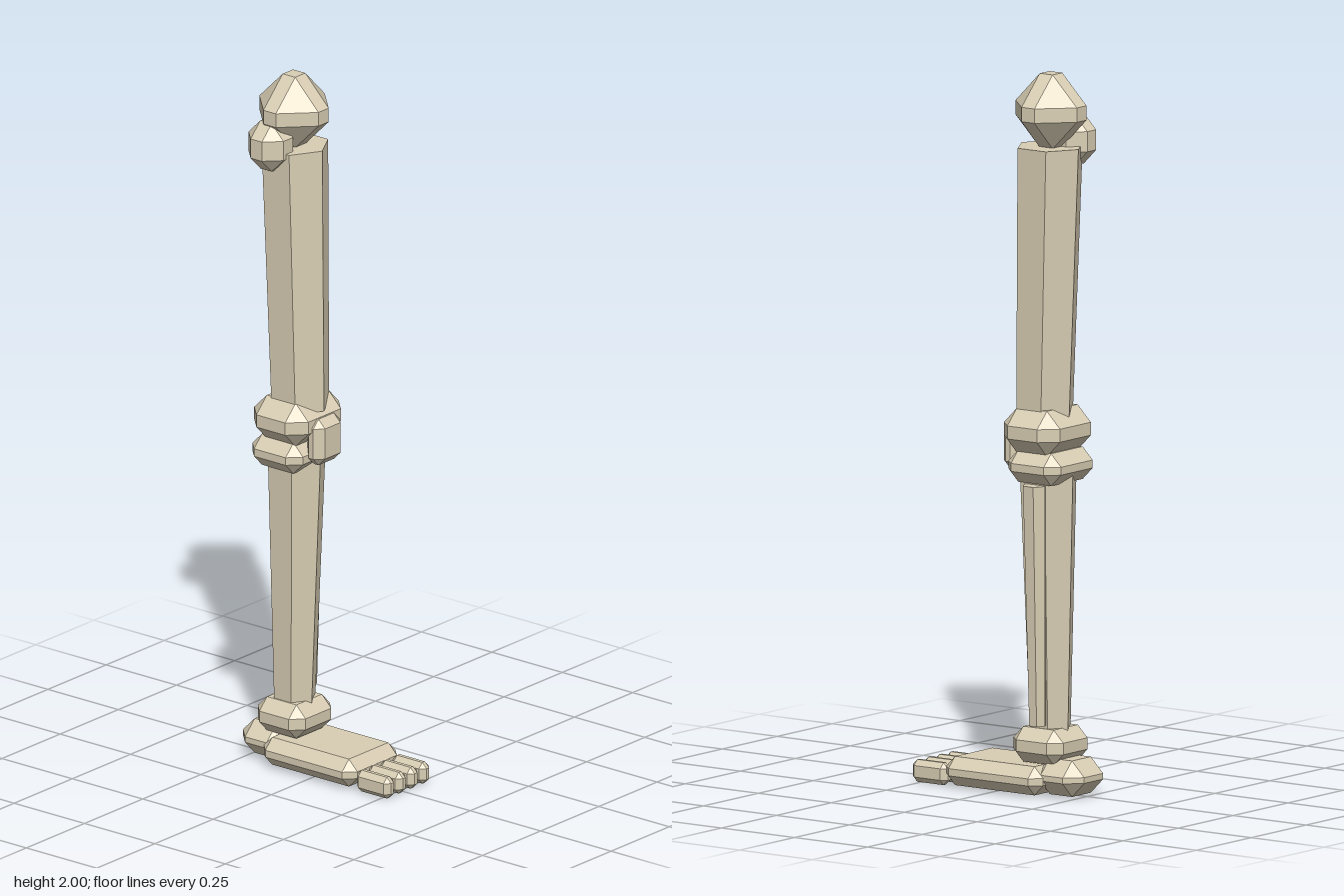
import * as THREE from 'three';
import { ConvexGeometry } from 'three/addons/geometries/ConvexGeometry.js';

const bone = new THREE.MeshStandardMaterial({ color: 0xd9ceb4 });
bone.name = 'bone';

// Box with flat bevels: each face is inset by c and the hull closes the edges.
function bevelBox(name, [x, y, z], half, c) {
  const points = [];
  for (let axis = 0; axis < 3; axis++)
    for (const sx of [-1, 1]) for (const sy of [-1, 1]) for (const sz of [-1, 1]) {
      const s = [sx, sy, sz];
      points.push(new THREE.Vector3(...half.map((h, i) => s[i] * (i === axis ? h : h - c))));
    }
  const mesh = new THREE.Mesh(new ConvexGeometry(points), bone);
  mesh.name = name;
  mesh.position.set(x, y, z);
  return mesh;
}

// Tapered six-sided shaft between two level ends, sheared so the ends line up.
function shaft(name, top, rTop, bottom, rBottom) {
  const h = top[1] - bottom[1];
  const geo = new THREE.CylinderGeometry(rTop, rBottom, h, 6).toNonIndexed();
  const p = geo.attributes.position;
  for (let i = 0; i < p.count; i++) {
    const t = p.getY(i) / h + 0.5;
    p.setXYZ(i,
      p.getX(i) + bottom[0] + (top[0] - bottom[0]) * t,
      p.getY(i) + bottom[1] + h / 2,
      p.getZ(i) + bottom[2] + (top[2] - bottom[2]) * t);
  }
  geo.computeVertexNormals();
  const mesh = new THREE.Mesh(geo, bone);
  mesh.name = name;
  return mesh;
}

export function createModel() {
  const leg = new THREE.Group();
  leg.name = 'legSkeleton';

  // Thigh
  leg.add(
    bevelBox('hipBall', [0.01, 1.897, -0.134], [0.105, 0.103, 0.105], 0.083),
    bevelBox('hipKnob', [-0.065, 1.81, -0.155], [0.062, 0.07, 0.062], 0.042),
    shaft('thighBone', [0.009, 1.797, -0.13], 0.097, [0.008, 1.04, -0.11], 0.084),
  );

  // Knee
  leg.add(
    bevelBox('kneeUpper', [0.008, 1.01, -0.12], [0.115, 0.063, 0.096], 0.045),
    bevelBox('kneeLower', [0.007, 0.912, -0.13], [0.106, 0.045, 0.09], 0.034),
    bevelBox('kneecap', [0.009, 0.96, -0.027], [0.056, 0.067, 0.031], 0.023),
  );

  // Shin
  leg.add(
    shaft('shinBone', [0.008, 0.89, -0.123], 0.084, [0.008, 0.17, -0.13], 0.06),
    shaft('calfBone', [0.086, 0.865, -0.135], 0.035, [0.079, 0.197, -0.14], 0.025),
  );

  // Ankle and foot
  leg.add(
    bevelBox('ankle', [0.007, 0.137, -0.13], [0.088, 0.049, 0.085], 0.033),
    bevelBox('heel', [0.01, 0.055, -0.2], [0.085, 0.05, 0.08], 0.042),
    bevelBox('foot', [0.01, 0.045, -0.005], [0.115, 0.04, 0.166], 0.03),
  );

  // Four toes
  for (let i = 0; i < 4; i++)
    leg.add(bevelBox('toe' + (i + 1), [-0.066 + i * 0.0507, 0.031, 0.218], [0.0205, 0.031, 0.06], 0.015));

  return leg;
}
